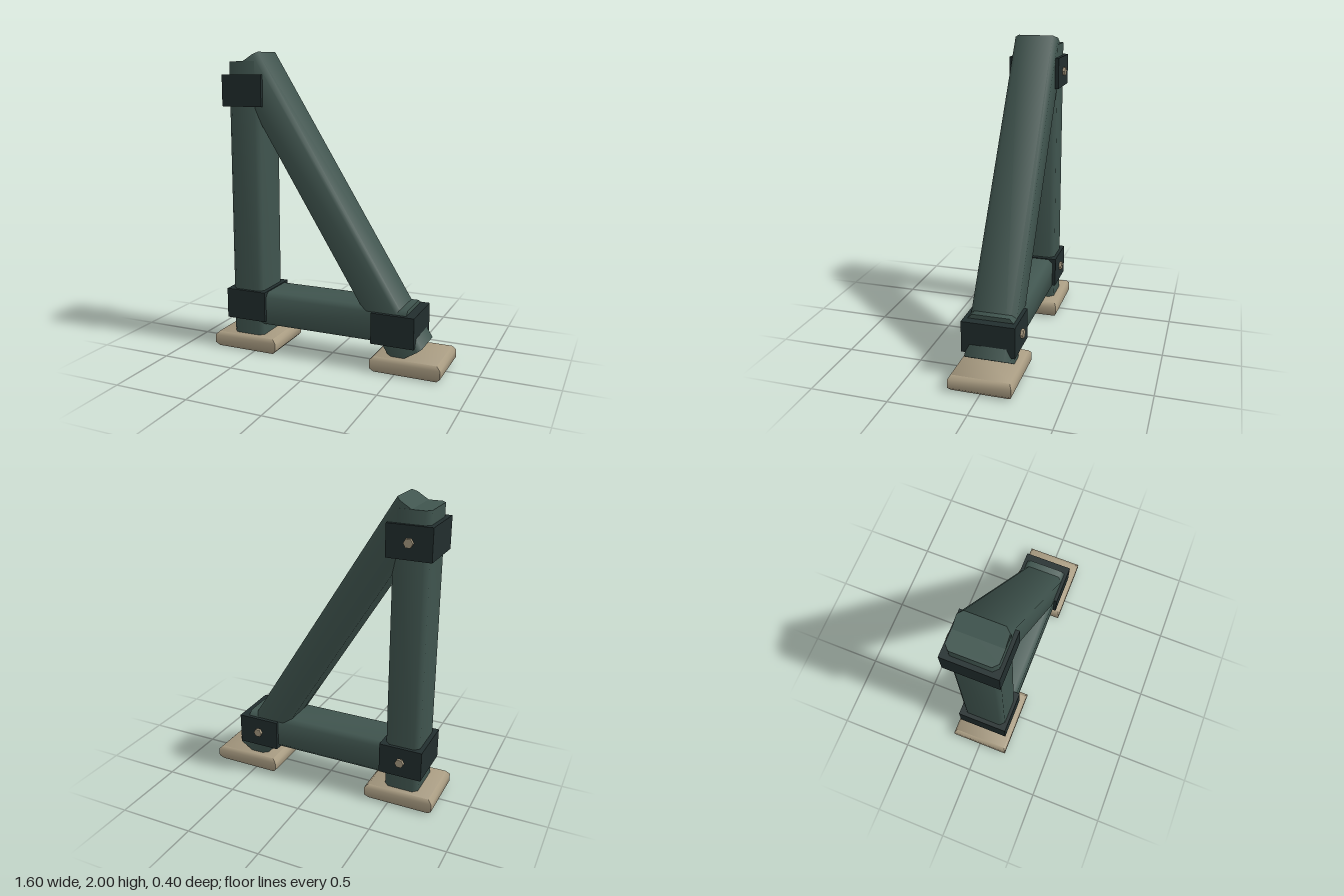
import * as THREE from 'three';
import { toCreasedNormals } from 'three/addons/utils/BufferGeometryUtils.js';

const mat = (name, color) => Object.assign(new THREE.MeshStandardMaterial({ color }), { name });

export function createModel() {
  const green = mat('green timber', 0x40554f);
  const dark = mat('dark bracket metal', 0x222e2e);
  const tan = mat('tan stone', 0xa99c82);
  const model = new THREE.Group();
  model.name = 'triangularFrame';

  const add = (name, geometry, material, x, y, z = 0) => {
    const mesh = new THREE.Mesh(geometry, material);
    mesh.name = name;
    mesh.position.set(x, y, z);
    model.add(mesh);
    return mesh;
  };

  // Upright beam with chamfered long edges, centred on its own origin
  const beam = (width, length, depth, c = 0.03) => {
    const w = width / 2, d = depth / 2;
    const section = new THREE.Shape([
      [w, c - d], [w, d - c], [w - c, d], [c - w, d],
      [-w, d - c], [-w, c - d], [c - w, -d], [w - c, -d],
    ].map(([x, y]) => new THREE.Vector2(x, y)));
    const g = new THREE.ExtrudeGeometry(section, { depth: length, bevelEnabled: false });
    g.translate(0, 0, -length / 2).rotateX(-Math.PI / 2);
    return toCreasedNormals(g, Math.PI / 3);
  };

  // Slab with chamfered top and bottom rims
  const slab = (w, h, d, c = 0.025) => {
    const g = new THREE.BoxGeometry(w, h, d, 1, 3, 1);
    const p = g.attributes.position;
    for (let i = 0; i < p.count; i++) {
      const x = p.getX(i), y = p.getY(i), z = p.getZ(i);
      if (Math.abs(y) > h * 0.4) {
        p.setX(i, x - Math.sign(x) * c);
        p.setZ(i, z - Math.sign(z) * c * 0.6);
      } else p.setY(i, Math.sign(y) * (h / 2 - c));
    }
    return toCreasedNormals(g, Math.PI / 3);
  };

  // Beams
  add('post', beam(0.228, 1.86, 0.3), green, -0.568, 1.01);
  add('crossBeam', beam(0.23, 1.13, 0.3), green, -0.003, 0.295).rotation.z = Math.PI / 2;

  // Sloping brace, placed from the two ends of its outer edge
  const top = new THREE.Vector2(-0.47, 2), foot = new THREE.Vector2(0.66, 0.17);
  const along = foot.clone().sub(top), length = along.length(), width = 0.229;
  along.normalize();
  const mid = top.clone().add(foot).multiplyScalar(0.5);
  add('brace', beam(width, length, 0.296), green,
    mid.x + along.y * width / 2, mid.y - along.x * width / 2)
    .rotation.z = Math.atan2(along.x, -along.y);

  // Brackets round the joints, each with a bolt head at the back
  const joints = [['top', -0.568, 1.754], ['lowerPost', -0.568, 0.314], ['lowerBrace', 0.477, 0.28]];
  for (const [name, x, y] of joints) {
    add(name + 'Bracket', new THREE.BoxGeometry(0.286, 0.204, 0.344), dark, x, y);
    const bolt = new THREE.CylinderGeometry(0.03, 0.03, 0.04, 6).toNonIndexed();
    bolt.rotateY(Math.PI / 2).rotateX(Math.PI / 2);
    bolt.computeVertexNormals();
    add(name + 'Bolt', bolt, tan, x, y, -0.17);
  }

  // Feet
  for (const s of [-1, 1]) {
    add(s < 0 ? 'postFoot' : 'braceFoot', slab(0.463, 0.104, 0.4), tan, s * 0.568, 0.052);
  }
  return model;
}
